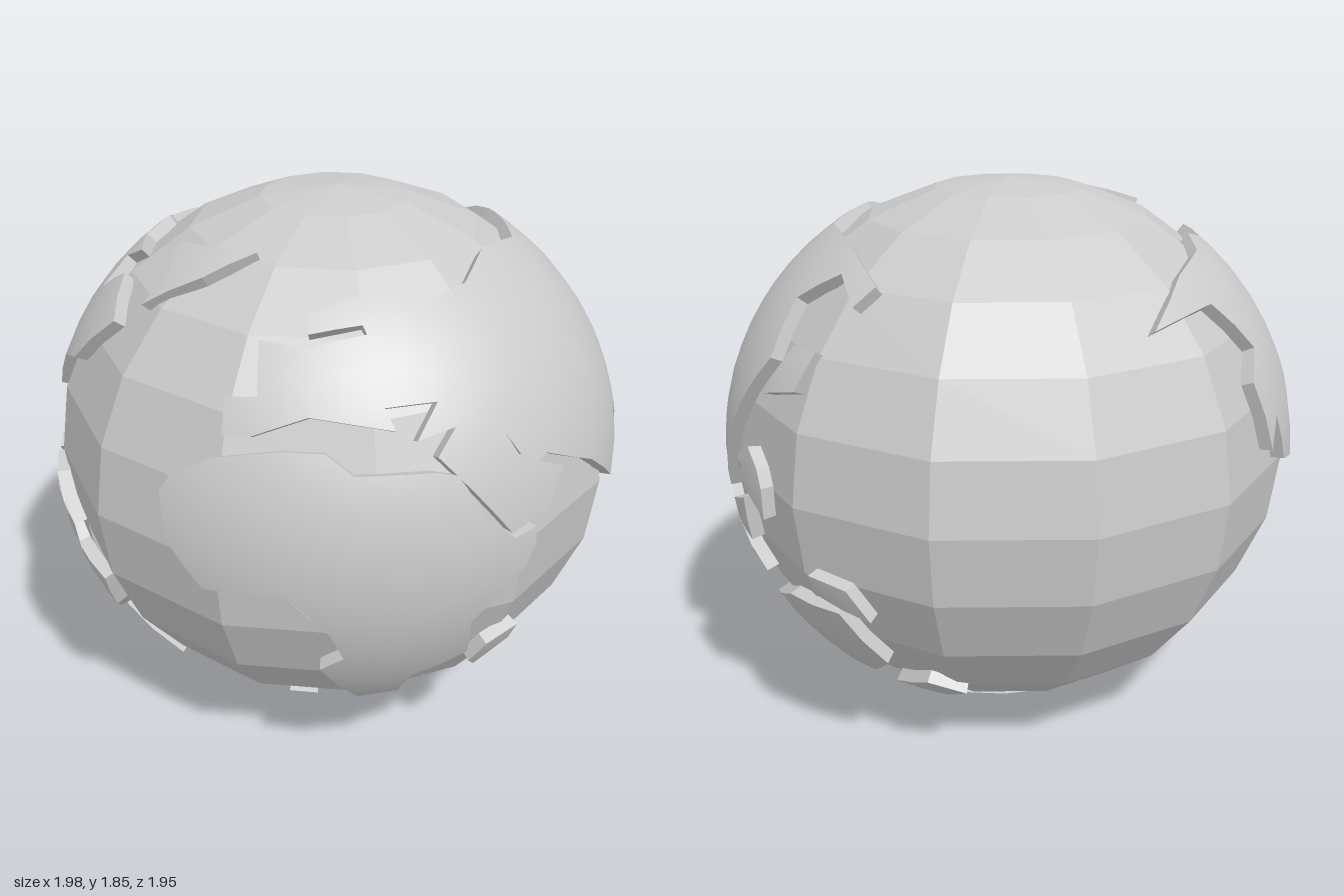
import * as THREE from 'three';

const CENTRE = new THREE.Vector3(0, 0.95, -0.015);
const OUTER = new THREE.Vector3(0.99, 0.936, 0.99);   // radii of the land's upper face
const INNER = 0.955;                                  // lower face, as a share of the upper one
const STEP = 0.16;                                    // longest edge of the land mesh

const V = (x, y, z) => new THREE.Vector3(x, y, z);

// Put flat outline points on the unit sphere, as seen along one direction
function project(pairs, right, up, toward) {
  return pairs.map(([u, v]) => {
    const w = Math.sqrt(Math.max(0, 1 - u * u - v * v));
    return V().addScaledVector(right, u).addScaledVector(up, v).addScaledVector(toward, w).normalize();
  });
}
const X = V(1, 0, 0), Y = V(0, 1, 0), Z = V(0, 0, 1);
const nx = (x) => x / OUTER.x, ny = (y) => (y - CENTRE.y) / OUTER.y, nz = (z) => (z - CENTRE.z) / OUTER.z;
const front = (...p) => project(p.map(([x, y]) => [nx(x), ny(y)]), X, Y, Z);
const side = (...p) => project(p.map(([z, y]) => [nz(z), ny(y)]), Z, Y, X);
const top = (...p) => project(p.map(([x, z]) => [nx(x), nz(z)]), X, Z, Y);
const bottom = (...p) => project(p.map(([x, z]) => [nx(x), nz(z)]), X, Z, V(0, -1, 0));
// Slanted direction, 35 degrees round from the back and 20 degrees up
const back = (...p) => project(p.map(([u, v]) => [u / 0.965, v / 0.965]),
  V(-0.819, 0, 0.574), V(0.196, 0.94, 0.28), V(-0.539, 0.342, -0.77));

const land = {
  africa: front([-0.63, 1.17], [-0.59, 1.23], [-0.47, 1.3], [-0.28, 1.34], [-0.15, 1.34], [-0.07, 1.28],
    [0.17, 1.27], [0.24, 1.25], [0.33, 1.11], [0.43, 1.01], [0.51, 1.02], [0.51, 0.96], [0.48, 0.89],
    [0.3, 0.73], [0.31, 0.57], [0.13, 0.5], [0.1, 0.38], [-0.03, 0.36], [-0.17, 0.58], [-0.1, 0.64],
    [-0.15, 0.76], [-0.28, 0.9], [-0.52, 0.88], [-0.62, 1.02]),

  eurasia: [
    ...front([-0.44, 1.36], [-0.42, 1.46], [-0.33, 1.47], [-0.31, 1.6], [-0.18, 1.59], [0, 1.62],
      [-0.01, 1.64], [-0.17, 1.62], [-0.17, 1.67]),
    ...top([-0.12, 0.6], [0, 0.57], [0.2, 0.58], [0.33, 0.49], [0.42, 0.32], [0.57, 0.13],
      [0.57, -0.19], [0.54, -0.45]),
    ...side([-0.45, 1.56], [-0.3, 1.63], [-0.2, 1.54], [-0.27, 1.37], [0.05, 0.83], [0.27, 1.16], [0.45, 0.96]),
    ...front([0.74, 1.12], [0.66, 1.17], [0.55, 1.23], [0.45, 1.26], [0.4, 1.33], [0.45, 1.25], [0.61, 1.17],
      [0.55, 1.06], [0.42, 1.03], [0.18, 1.31], [0.24, 1.38], [0.12, 1.36], [0.19, 1.45], [0.03, 1.45],
      [0.06, 1.39], [-0.19, 1.43], [-0.36, 1.37]),
  ],

  northAmerica: [
    ...top([-0.235, -0.775], [-0.39, -0.58], [-0.53, -0.39], [-0.54, -0.29], [-0.62, -0.2], [-0.64, -0.02],
      [-0.69, -0.11], [-0.78, -0.07], [-0.7, 0.04], [-0.74, 0.24]),
    ...back([0.78, 0.26], [0.7, 0.12], [0.67, -0.06], [0.42, -0.08], [0.41, -0.2], [0.72, -0.27], [0.7, -0.31],
      [0.57, -0.31], [0.26, -0.27], [0.21, -0.11], [0.14, -0.21], [0.09, 0.03], [0.18, 0.13], [0.05, 0.31]),
  ],

  southAmerica: [
    ...back([0.93, -0.18], [0.74, -0.26], [0.65, -0.39], [0.63, -0.6]),
    ...front([-0.59, 0.26], [-0.78, 0.4], [-0.8, 0.55], [-0.83, 0.7], [-0.92, 0.74], [-0.975, 0.95]),
  ],

  australia: side([-0.12, 0.49], [-0.38, 0.6], [-0.6, 0.62], [-0.6, 0.42], [-0.44, 0.31], [-0.23, 0.31], [-0.07, 0.34]),
  antarctica: bottom([-0.39, 0.05], [-0.3, -0.2], [-0.05, -0.33], [0.25, -0.3], [0.38, -0.02], [0.3, 0.2],
    [0.05, 0.24], [-0.1, 0.3], [-0.12, 0.41], [-0.22, 0.4], [-0.2, 0.26], [-0.33, 0.2]),
  greenland: top([-0.52, 0.12], [-0.44, 0.23], [-0.29, 0.36], [-0.46, 0.36], [-0.65, 0.29], [-0.56, 0.26]),
  southEastIsland: front([0.49, 0.61], [0.47, 0.54], [0.36, 0.44], [0.33, 0.49], [0.38, 0.57]),
  northEastIsland: side([-0.35, 1.43], [-0.45, 1.43], [-0.45, 1.31], [-0.31, 1.27]),
  tropicalIsland: side([-0.29, 1.09], [-0.36, 1.04], [-0.39, 0.98], [-0.39, 0.875], [-0.22, 0.98]),
  equatorIsland: side([-0.09, 0.84], [-0.25, 0.9], [-0.23, 0.74], [-0.07, 0.755]),
  longIsland: side([0.18, 0.85], [-0.25, 0.63], [0, 0.67]),
  easternIsland: side([-0.55, 0.74], [-0.67, 0.73], [-0.69, 0.62], [-0.55, 0.67]),
  southernIsland: side([-0.46, 0.27], [-0.62, 0.34], [-0.64, 0.29], [-0.55, 0.24]),
};

// Curved slab: outline triangulated, split finely, and wrapped over the globe
function slab(outline) {
  const mid = outline.reduce((s, p) => s.add(p), V()).normalize();
  const e1 = V().crossVectors(Math.abs(mid.y) > 0.9 ? X : Y, mid).normalize();
  const e2 = V().crossVectors(mid, e1);
  const flatten = (p) => new THREE.Vector2(p.dot(e1), p.dot(e2)).divideScalar(1 + p.dot(mid));
  let pts = outline;
  if (THREE.ShapeUtils.isClockWise(pts.map(flatten))) pts = [...pts].reverse();
  const flat = pts.map(flatten);

  const position = [], normal = [];
  const put = (p, k, n) => {
    position.push(...p.clone().multiply(OUTER).multiplyScalar(k).toArray());
    normal.push(...n.toArray());
  };
  const grow = (p) => p.clone().divide(OUTER).normalize();
  const half = (a, b) => a.clone().add(b).normalize();

  // Upper and lower faces
  const cap = (a, b, c) => {
    const ab = a.distanceTo(b), bc = b.distanceTo(c), ca = c.distanceTo(a);
    const longest = Math.max(ab, bc, ca);
    if (longest > STEP) {
      if (bc === longest) return cap(b, c, a);
      if (ca === longest) return cap(c, a, b);
      const m = half(a, b);
      cap(a, m, c);
      cap(m, b, c);
      return;
    }
    for (const p of [a, b, c]) put(p, 1, grow(p));
    for (const p of [c, b, a]) put(p, INNER, grow(p).negate());
  };
  for (const [i, j, k] of THREE.ShapeUtils.triangulateShape(flat, [])) {
    const turn = flat[j].clone().sub(flat[i]).cross(flat[k].clone().sub(flat[i]));
    if (turn > 0) cap(pts[i], pts[j], pts[k]);
    else cap(pts[i], pts[k], pts[j]);
  }

  // Coast walls
  const wall = (a, b) => {
    if (a.distanceTo(b) > STEP) {
      const m = half(a, b);
      wall(a, m);
      wall(m, b);
      return;
    }
    const n = V().crossVectors(b.clone().sub(a), a).normalize();
    for (const [p, k] of [[a, INNER], [b, INNER], [b, 1], [a, INNER], [b, 1], [a, 1]]) put(p, k, n);
  };
  pts.forEach((p, i) => wall(p, pts[(i + 1) % pts.length]));

  const geometry = new THREE.BufferGeometry();
  geometry.setAttribute('position', new THREE.Float32BufferAttribute(position, 3));
  geometry.setAttribute('normal', new THREE.Float32BufferAttribute(normal, 3));
  return geometry;
}

export function createModel() {
  const model = new THREE.Group();
  model.name = 'globe';

  // Faceted ocean ball
  const ocean = new THREE.Mesh(
    new THREE.SphereGeometry(0.96, 12, 12).scale(1, 0.948, 1),
    new THREE.MeshStandardMaterial({ color: 0xcccccc, flatShading: true }));
  ocean.name = 'ocean';
  ocean.position.copy(CENTRE);
  model.add(ocean);

  // Smooth land plates
  const material = new THREE.MeshStandardMaterial({ color: 0xcccccc, side: THREE.DoubleSide });
  for (const [name, outline] of Object.entries(land)) {
    const mesh = new THREE.Mesh(slab(outline), material);
    mesh.name = name;
    mesh.position.copy(CENTRE);
    model.add(mesh);
  }
  return model;
}
